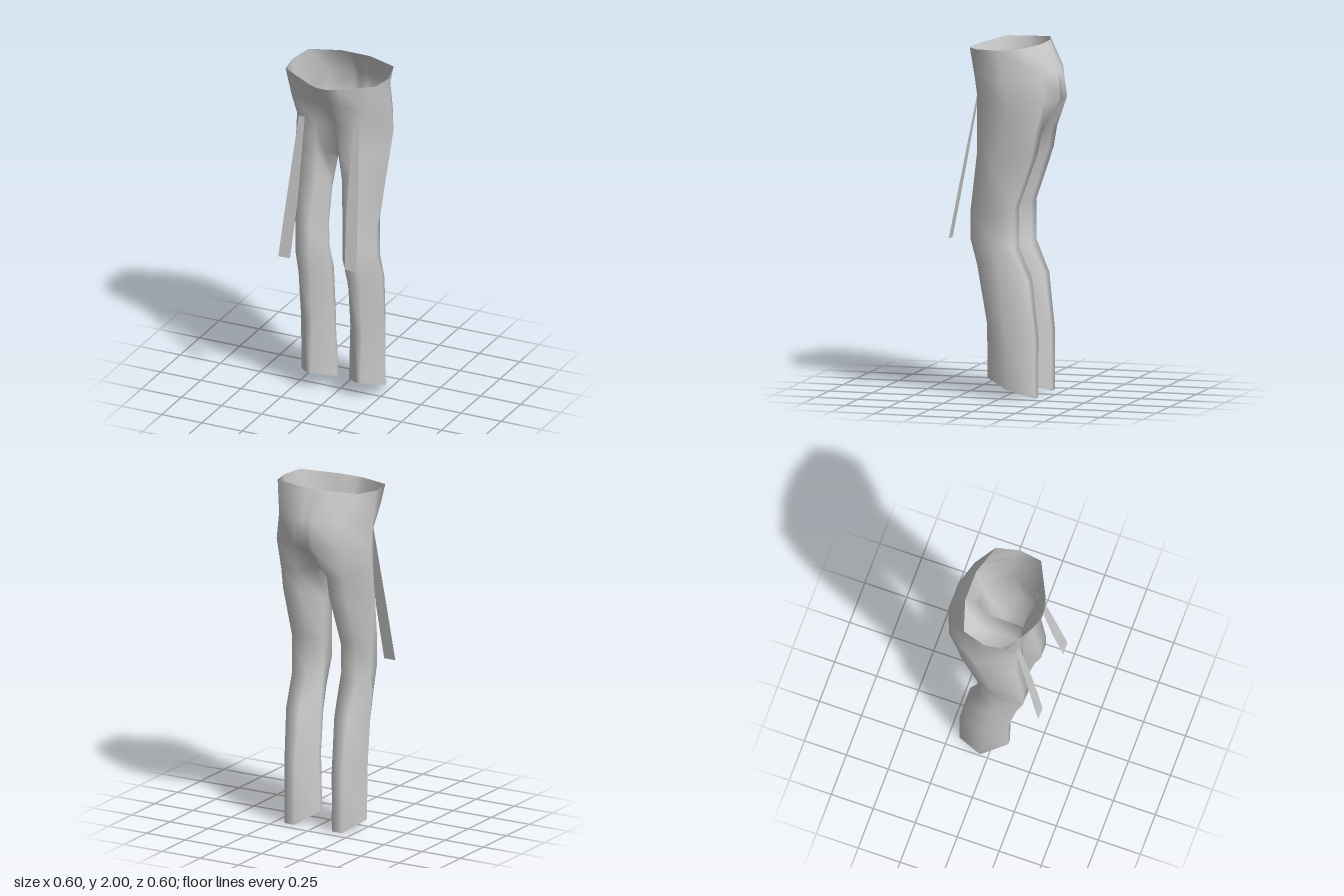
import * as THREE from 'three';

// Half rings of the pelvis, front centre -> outer side -> back centre
const pelvis = [
  [[.03, 1.96, .243], [.09, 1.965, .225], [.28, 1.985, .13], [.3, 1.985, 0], [.265, 1.995, -.135], [.09, 2, -.19], [.03, 2, -.19]],
  [[.03, 1.84, .19], [.09, 1.84, .19], [.23, 1.84, .155], [.297, 1.83, -.03], [.195, 1.84, -.235], [.05, 1.84, -.28], [.02, 1.84, -.28]],
  [[.035, 1.7, .135], [.085, 1.7, .15], [.19, 1.71, .15], [.3, 1.64, -.06], [.205, 1.69, -.245], [.06, 1.69, -.3], [.025, 1.68, -.29]],
  [[.04, 1.5, .11], [.075, 1.53, .15], [.19, 1.53, .15], [.295, 1.55, -.04], [.205, 1.5, -.195], [.095, 1.5, -.2], [.045, 1.5, -.1]],
];

// Leg rings: front y/z, side y/z, back y/z, then x of inner, outer, front pair, back pair
const legs = [
  [1.38, .15, 1.3, .02, 1.38, -.175, .045, .28, .08, .195, .095, .205],
  [1.05, .19, 1.04, .04, 1.08, -.072, .06, .243, .105, .19, .11, .21],
  [.9, .19, .89, .035, .85, -.072, .06, .24, .105, .19, .115, .21],
  [.75, .15, .8, .015, .67, -.15, .055, .262, .115, .19, .115, .2],
  [.42, .095, .4, -.03, .35, -.187, .053, .262, .13, .18, .12, .19],
  [.11, .095, .06, -.04, .005, -.187, .04, .262, .14, .17, .122, .188],
].map(([yF, zF, yM, zM, yB, zB, xi, xo, fi, fo, bi, bo]) => [
  [xi, yM, zM + .015], [fi, yF, zF], [fo, yF, zF], [xo, yM, zM],
  [bo, yB, zB], [bi, yB, zB], [xi, yM, zM - .015],
]);

function trousersGeometry() {
  const rings = [...pelvis, ...legs], N = 7, half = rings.length * N;
  const positions = [], index = [];
  for (const s of [1, -1])
    for (const ring of rings) for (const [x, y, z] of ring) positions.push(s * x, y, z);
  const id = (side, r, j) => side * half + r * N + j;
  const quad = (a, b, c, d) => index.push(a, b, c, a, c, d);
  const split = pelvis.length - 1;   // ring where the legs part
  for (let r = 0; r < rings.length - 1; r++) {
    // Both sides; leg rings are closed, pelvis rings stay open at the centre
    for (let j = 0; j < (r < split ? N - 1 : N); j++) {
      const k = (j + 1) % N;
      quad(id(0, r, j), id(0, r + 1, j), id(0, r + 1, k), id(0, r, k));
      quad(id(1, r, k), id(1, r + 1, k), id(1, r + 1, j), id(1, r, j));
    }
    // Centre front and centre back seams
    if (r < split) {
      quad(id(1, r, 0), id(1, r + 1, 0), id(0, r + 1, 0), id(0, r, 0));
      quad(id(0, r, 6), id(0, r + 1, 6), id(1, r + 1, 6), id(1, r, 6));
    }
  }
  // Crotch bridge
  quad(id(1, split, 0), id(1, split, 6), id(0, split, 6), id(0, split, 0));
  return finish(positions, index);
}

// Hanging strap: a tapering flat strip
function strapGeometry(s) {
  const rows = [[1.72, .15, .15, .188], [1.23, .24, .152, .222], [.9, .3, .17, .243]];
  const positions = [], index = [];
  for (const [y, z, xi, xo] of rows) {
    const xs = s > 0 ? [xi, xo] : [-xo, -xi];
    positions.push(xs[0], y, z, xs[1], y, z);
  }
  for (let i = 0; i < 4; i += 2) index.push(i, i + 2, i + 3, i, i + 3, i + 1);
  return finish(positions, index);
}

function finish(positions, index) {
  const g = new THREE.BufferGeometry();
  g.setAttribute('position', new THREE.Float32BufferAttribute(positions, 3));
  g.setIndex(index);
  g.computeVertexNormals();
  return g;
}

export function createModel() {
  const group = new THREE.Group();
  group.name = 'trousersWithStraps';
  const cloth = new THREE.MeshStandardMaterial({ color: 0xcccccc, side: THREE.DoubleSide });
  cloth.name = 'light grey cloth';
  const add = (name, geometry) => {
    const mesh = new THREE.Mesh(geometry, cloth);
    mesh.name = name;
    group.add(mesh);
  };
  add('trousers', trousersGeometry());
  add('leftStrap', strapGeometry(1));
  add('rightStrap', strapGeometry(-1));
  return group;
}
